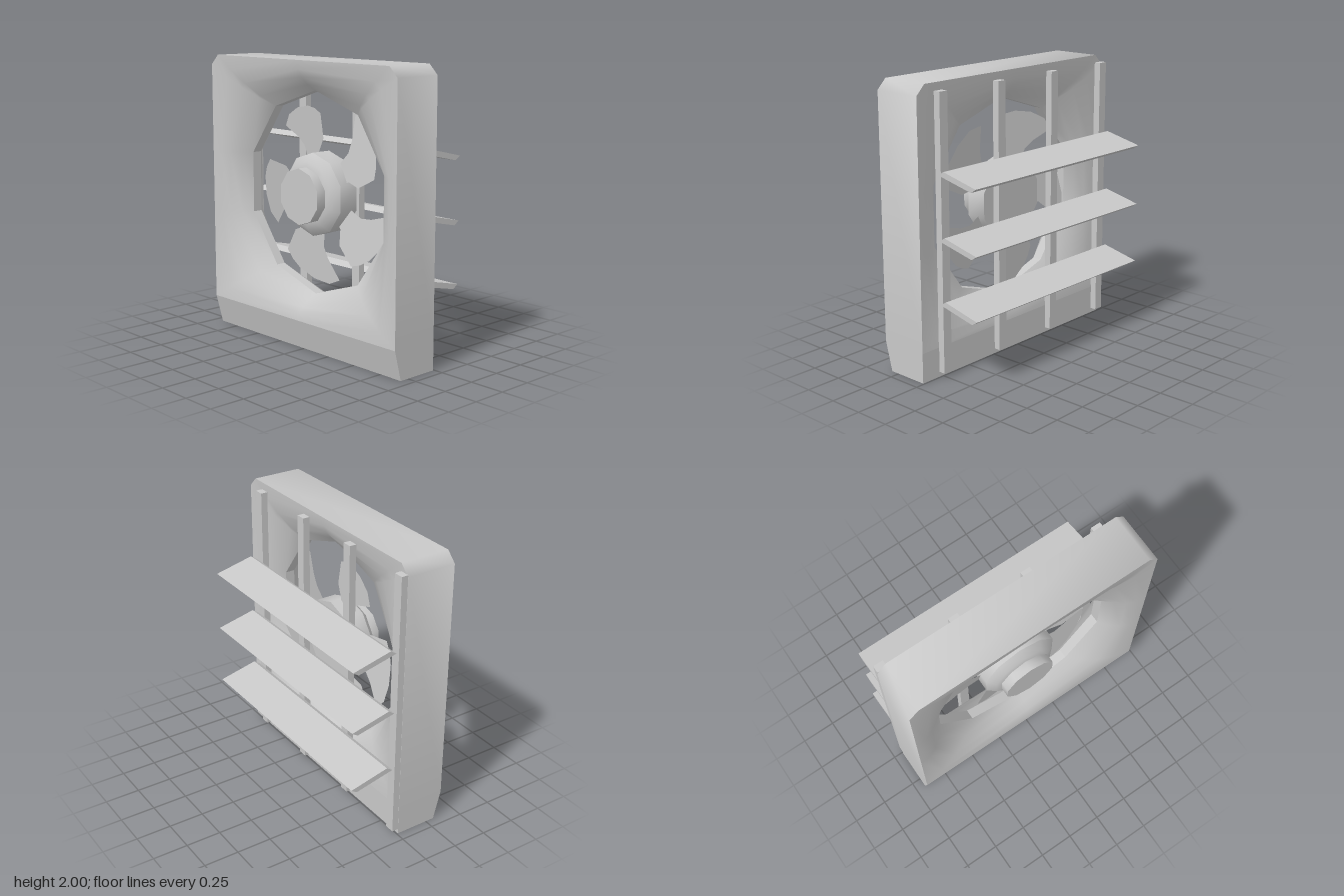
import * as THREE from 'three';
import { toCreasedNormals } from 'three/addons/utils/BufferGeometryUtils.js';

// Skin over a series of matching closed rings of points
function loft(rings, crease) {
  const pos = [];
  for (let r = 0; r + 1 < rings.length; r++) {
    const a = rings[r], b = rings[r + 1];
    a.forEach((p, i) => {
      const j = (i + 1) % a.length;
      pos.push(...p, ...a[j], ...b[j], ...p, ...b[j], ...b[i]);
    });
  }
  const g = new THREE.BufferGeometry();
  g.setAttribute('position', new THREE.Float32BufferAttribute(pos, 3));
  return toCreasedNormals(g, crease);
}

export function createModel() {
  const group = new THREE.Group();
  const grey = new THREE.MeshStandardMaterial({ color: 0xc8c8c8 });
  grey.name = 'paintedMetal';
  const greySheet = new THREE.MeshStandardMaterial({ color: 0xc8c8c8, side: THREE.DoubleSide });
  greySheet.name = 'paintedMetal';
  const add = (name, geometry, material = grey) => {
    const mesh = new THREE.Mesh(geometry, material);
    mesh.name = name;
    group.add(mesh);
    return mesh;
  };

  const BACK = 0.01, FRONT = 0.37, RIM_BACK = 0.14, RIM_FRONT = 0.21;

  // Outer side walls, clockwise from the top left, with a slanted lower front
  const outline = [
    [-0.86, 2, FRONT], [0.86, 2, FRONT], [0.93, 1.93, FRONT], [0.93, 0.21, FRONT],
    [0.93, 0, 0.315], [-0.93, 0, 0.315], [-0.93, 0.21, FRONT], [-0.93, 1.93, FRONT],
  ];
  add('housingSides', loft([outline, outline.map(([x, y]) => [x, y, BACK])], 0.9));

  // Strips below the funnel, front and back
  const strip = (name, bottomZ, topZ, flip) => {
    const g = new THREE.PlaneGeometry(1.86, 0.21);
    const p = g.attributes.position;
    for (let i = 0; i < 4; i++) {
      const top = p.getY(i) > 0;
      p.setXYZ(i, p.getX(i) * flip, top ? 0.21 : 0, top ? topZ : bottomZ);
    }
    g.computeVertexNormals();
    add(name, g);
  };
  strip('lowerFrontSlope', 0.315, FRONT, 1);
  strip('lowerBackPanel', BACK, BACK, -1);

  // Ten-sided opening; each outer point is tied to one corner of the opening
  const half = [[0.86, 2, 1], [0.93, 1.93, 1], [0.93, 1.3, 2], [0.93, 0.87, 3], [0.93, 0.21, 4]];
  const links = [
    [0, 2, 0], ...half, [0, 0.21, 5],
    ...half.map(([x, y, k]) => [-x, y, 10 - k]).reverse(),
  ];
  // Ring at fraction t of the way from the housing edge to the opening
  const ring = (t, z) => links.map(([x, y, k]) => {
    const a = k * Math.PI / 5;
    const hx = 0.005 + 0.707 * Math.sin(a), hy = 1.083 + 0.707 * Math.cos(a);
    return [x + (hx - x) * t, y + (hy - y) * t, z];
  });
  // Sheet that starts flat at the edge and curves ever steeper into the opening
  const steps = [0, 0.3, 0.55, 0.8, 1];
  const funnel = (edgeZ, rimZ) => steps.map(t => ring(t, edgeZ + (rimZ - edgeZ) * t ** 2.4));
  add('frontFunnel', loft(funnel(FRONT, RIM_FRONT).reverse(), 1.3));
  add('backFunnel', loft(funnel(BACK, RIM_BACK), 1.3));
  add('openingRim', loft([ring(1, RIM_BACK), ring(1, RIM_FRONT)], 0.3));

  // Fan hub
  const profile = [[0, 0.07], [0.29, 0.07], [0.29, 0.22], [0.235, 0.27], [0.195, 0.28], [0.195, 0.35], [0, 0.35]];
  const lathe = new THREE.LatheGeometry(profile.map(p => new THREE.Vector2(...p)), 10);
  lathe.rotateX(Math.PI / 2);
  add('fanHub', toCreasedNormals(lathe, 0.75)).position.set(-0.01, 1.075, 0);

  // Five pitched fan blades
  const bladeOutline = [
    [-0.25, 0.06], [-0.285, 0.07], [-0.355, 0.155], [-0.525, 0.185], [-0.575, 0.125], [-0.61, 0.05],
    [-0.63, -0.09], [-0.61, -0.22], [-0.545, -0.295], [-0.435, -0.16], [-0.365, -0.105], [-0.25, -0.085],
  ];
  const bladeGeometry = new THREE.ShapeGeometry(new THREE.Shape(bladeOutline.map(p => new THREE.Vector2(...p))));
  const bp = bladeGeometry.attributes.position;
  for (let i = 0; i < bp.count; i++) bp.setZ(i, 0.14 + 0.18 * bp.getY(i));
  bladeGeometry.computeVertexNormals();
  for (let i = 0; i < 5; i++) {
    const blade = add('fanBlade', bladeGeometry, greySheet);
    blade.position.set(0.003, 1.077, 0);
    blade.rotation.z = i * Math.PI * 0.4;
  }

  // Upright bars on the back
  const barGeometry = new THREE.BoxGeometry(0.07, 1.91, 0.05);
  for (let i = 0; i < 4; i++) {
    add('uprightBar', barGeometry).position.set(-0.893 + i * 0.545, 0.99, -0.012);
  }

  // Slanted louvre slats: section drawn as (-z, y) and extruded along x
  const section = [[0.038, 0.53], [0.325, 0.465], [0.367, 0.493], [0.083, 0.56]];
  const slatGeometry = new THREE.ExtrudeGeometry(
    new THREE.Shape(section.map(p => new THREE.Vector2(...p))), { depth: 1.705, bevelEnabled: false });
  slatGeometry.rotateY(Math.PI / 2);
  for (let i = 0; i < 3; i++) {
    add('louvreSlat', slatGeometry).position.set(-0.905, i * 0.44, 0);
  }

  return group;
}
